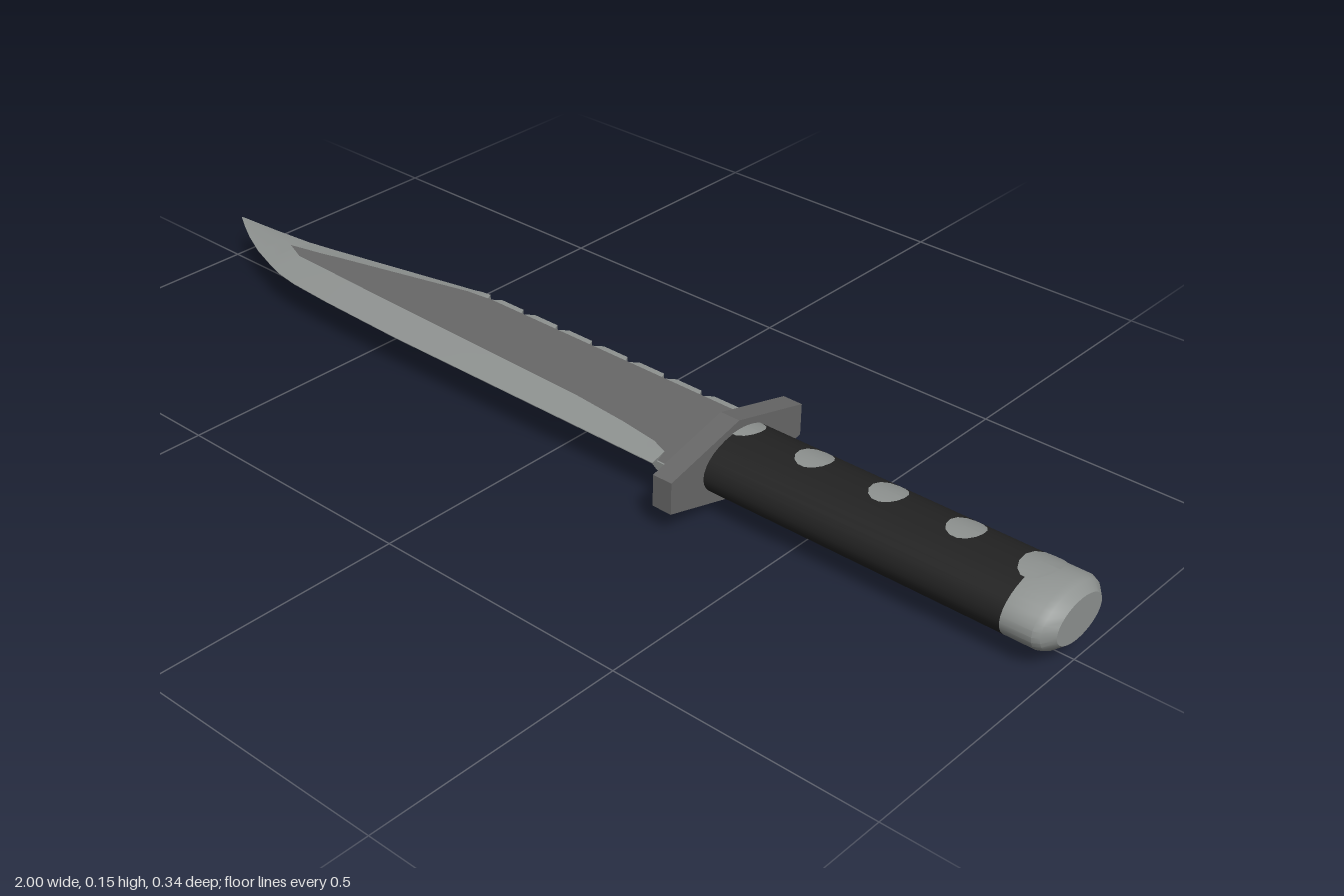
import * as THREE from 'three';
import { toCreasedNormals } from 'three/addons/utils/BufferGeometryUtils.js';

const steel = new THREE.MeshStandardMaterial({ name: 'light steel', color: 0x8f9391 });
const darkSteel = new THREE.MeshStandardMaterial({ name: 'dark steel', color: 0x686868 });
const grip = new THREE.MeshStandardMaterial({ name: 'black grip', color: 0x222222 });

const MID = 0.077; // height of the knife's centre plane
const RY = 0.055, RZ = 0.09; // grip radii

// Piecewise linear curve through [x, value] keys
function curve(keys) {
  return (x) => {
    let i = 1;
    while (i < keys.length - 1 && x > keys[i][0]) i++;
    const [x0, a] = keys[i - 1], [x1, b] = keys[i];
    return a + (b - a) * THREE.MathUtils.clamp((x - x0) / (x1 - x0), 0, 1);
  };
}

// Spine outline: clipped point, then a row of saw notches
const spineKeys = [[-1, -0.021], [-0.9, -0.027], [-0.81, -0.035], [-0.74, -0.048], [-0.4, -0.118]];
for (let i = 0; i < 8; i++) {
  const x = -0.38 + i * 0.088;
  spineKeys.push([x, -0.119], [x + 0.006, -0.106], [x + 0.016, -0.106], [x + 0.03, -0.119]);
}
spineKeys.push([0.3, -0.119]);
const edgeKeys = [[-1, -0.019], [-0.96, 0.005], [-0.92, 0.027], [-0.86, 0.055], [-0.8, 0.076],
  [-0.75, 0.091], [-0.7, 0.099], [-0.6, 0.105], [-0.4, 0.111], [0.3, 0.111]];
const upperKeys = [[-1, -0.02], [-0.82, 0.003], [-0.75, -0.012], [-0.42, -0.097], [-0.36, -0.104], [0.3, -0.105]];
const lowerKeys = [[-1, -0.02], [-0.82, 0.003], [-0.77, 0.024], [-0.6, 0.03], [0, 0.045],
  [0.12, 0.055], [0.2, 0.066], [0.235, 0.08], [0.245, 0.109], [0.3, 0.109]];
const thickKeys = [[-1, 0.001], [-0.85, 0.007], [-0.7, 0.009], [0.3, 0.009]];
const spineThickKeys = [[-1, 0.001], [-0.8, 0.003], [-0.42, 0.005], [-0.38, 0.007], [0.3, 0.007]];
const edgeThickKeys = [[-1, 0.0005], [0.235, 0.0008], [0.245, 0.0085], [0.3, 0.0085]];

// Loft the blade's cross-section, keeping the chosen sides of the ring
function bladeStrip(sides) {
  const all = [spineKeys, edgeKeys, upperKeys, lowerKeys, thickKeys];
  const xs = [...new Set(all.flat().map((k) => k[0]))].sort((a, b) => a - b);
  const [zs, ze, zu, zl, t, ts, te] = [...all.slice(0, 4), thickKeys, spineThickKeys, edgeThickKeys].map(curve);
  const ring = (x) => {
    const half = [[ze(x), te(x)], [zl(x), t(x)], [zu(x), t(x)], [zs(x), ts(x)]];
    const under = half.map(([z, y]) => [z, -y]).reverse();
    return [...half, ...under].map(([z, y]) => [x, y + MID, z]);
  };
  const pos = [];
  for (let i = 0; i < xs.length - 1; i++) {
    const p = ring(xs[i]), q = ring(xs[i + 1]);
    for (const j of sides) {
      const k = (j + 1) % 8;
      pos.push(...p[j], ...q[j], ...q[k], ...p[j], ...q[k], ...p[k]);
    }
  }
  const geo = new THREE.BufferGeometry();
  geo.setAttribute('position', new THREE.Float32BufferAttribute(pos, 3));
  return toCreasedNormals(geo, 0.3);
}

// Oval solid turned about the x axis from [radius, x] points
function ovalLathe(points) {
  const geo = new THREE.LatheGeometry(points.map(([r, x]) => new THREE.Vector2(r, x)), 32);
  geo.rotateZ(-Math.PI / 2);
  geo.scale(1, RY, RZ);
  geo.translate(0, MID, 0);
  return toCreasedNormals(geo, 0.5);
}

// Oval patch hugging the grip's upper (side 1) or lower (side -1) face
function gripSpot(x, rx, rz, side) {
  const geo = new THREE.RingGeometry(0.001, 1, 14, 5);
  geo.rotateX(-Math.PI / 2);
  geo.scale(rx, 1, rz);
  geo.translate(x, 0, -0.02 * side);
  const p = geo.attributes.position;
  for (let i = 0; i < p.count; i++) {
    p.setY(i, RY * Math.sqrt(Math.max(0, 1 - (p.getZ(i) / RZ) ** 2)) + 0.0015);
  }
  if (side < 0) geo.rotateX(Math.PI);
  geo.translate(0, MID, 0);
  geo.computeVertexNormals();
  return geo;
}

export function createModel() {
  const model = new THREE.Group();
  model.name = 'knife';
  const add = (name, geo, mat) => {
    const mesh = new THREE.Mesh(geo, mat);
    mesh.name = name;
    model.add(mesh);
  };

  // Blade: ground bevels, edge and saw spine, with darker flats
  add('bladeBevels', bladeStrip([0, 2, 3, 4, 6, 7]), steel);
  add('bladeFlats', bladeStrip([1, 5]), darkSteel);

  // Six-sided guard
  const outline = [[0.172, 0.107], [0, 0.151], [-0.172, 0.107], [-0.172, 0.046], [0, 0], [0.172, 0.046]];
  const shape = new THREE.Shape(outline.map(([z, y]) => new THREE.Vector2(-z, y)));
  const guard = new THREE.ExtrudeGeometry(shape, { depth: 0.04, bevelEnabled: false });
  guard.rotateY(Math.PI / 2);
  guard.translate(0.29, 0, 0);
  add('guard', guard, darkSteel);

  // Grip and pommel
  add('grip', ovalLathe([[1, 0.32], [1, 0.915]]), grip);
  add('pommel', ovalLathe([[1, 0.915], [1, 0.972], [0.93, 0.984], [0.7, 1], [0, 1]]), steel);

  // Metal showing through the grip
  for (const side of [1, -1]) {
    for (const x of [0.33, 0.475, 0.625, 0.775]) {
      add('gripSpot', gripSpot(x, 0.031, 0.038, side), steel);
    }
    add('pommelSpot', gripSpot(0.915, 0.031, 0.052, side), steel);
  }
  return model;
}
